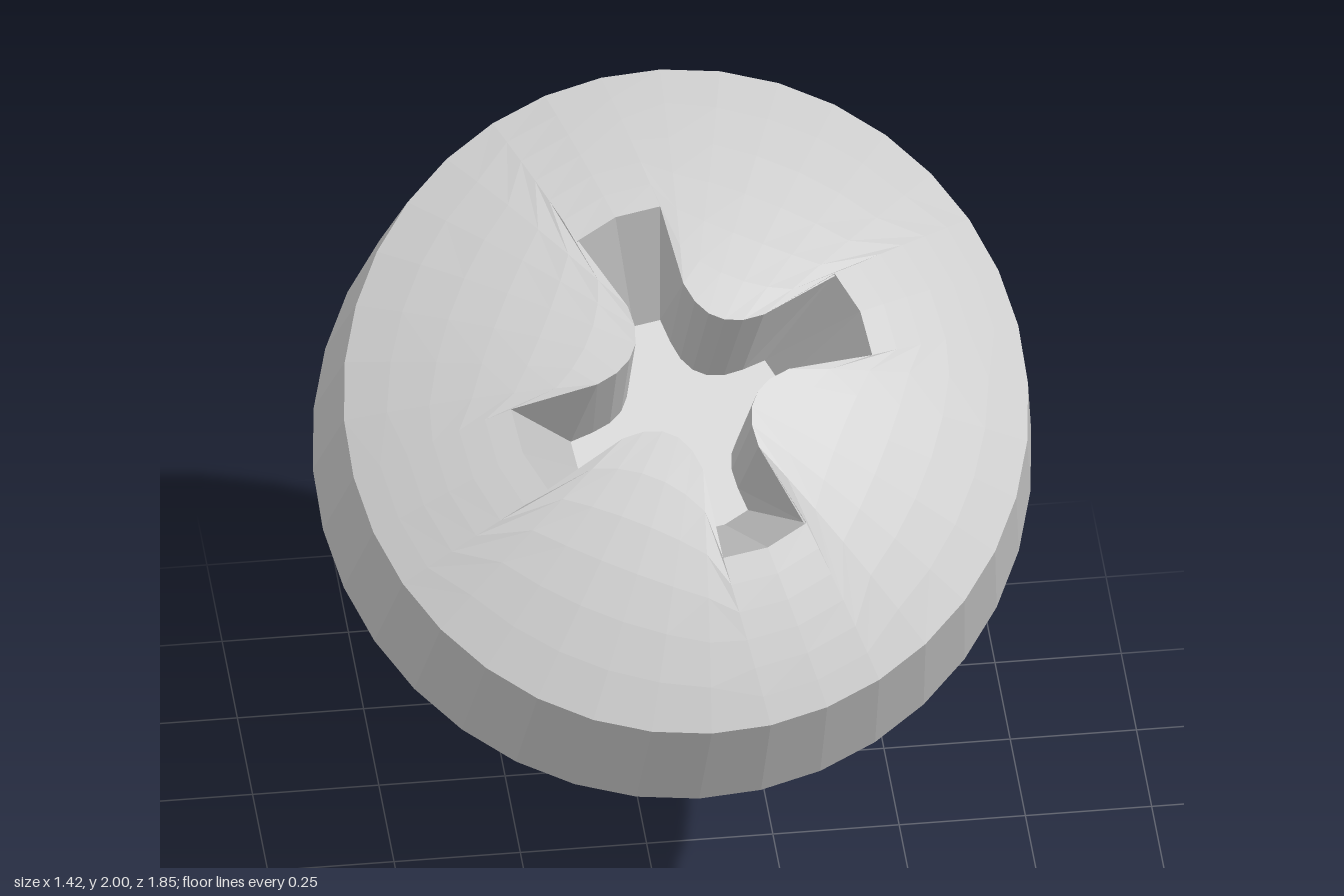
import * as THREE from 'three';

const N = 36;            // sides all round, nine per recess arm
const RIM_R = 0.676, RIM_H = 1.805, DOME = 0.21, FLOOR_H = 1.62;
const TWIST = -0.33;     // turn of the cross recess about the screw axis

const material = new THREE.MeshStandardMaterial({ color: 0xcccccc, flatShading: true });

const domeHeight = (r) => RIM_H + DOME * (1 - (r / RIM_R) ** 2);

const circle = (r, h) => Array.from({ length: N }, (_, i) => {
  const a = TWIST + (i / N) * Math.PI * 2;
  return new THREE.Vector3(r * Math.cos(a), h, r * Math.sin(a));
});

// Skin a list of equal loops; a loop of radius 0 closes an end
function loft(name, loops) {
  const pos = [];
  const tri = (a, b, c) => {
    const area = b.clone().sub(a).cross(c.clone().sub(a)).length();
    if (area > 1e-9) pos.push(...a.toArray(), ...b.toArray(), ...c.toArray());
  };
  for (let k = 0; k < loops.length - 1; k++) {
    for (let i = 0; i < N; i++) {
      const j = (i + 1) % N, A = loops[k], B = loops[k + 1];
      tri(A[i], B[i], A[j]);
      tri(A[j], B[i], B[j]);
    }
  }
  const geometry = new THREE.BufferGeometry();
  geometry.setAttribute('position', new THREE.Float32BufferAttribute(pos, 3));
  geometry.computeVertexNormals();
  const mesh = new THREE.Mesh(geometry, material);
  mesh.name = name;
  return mesh;
}

// Cross outline: flared arms joined by rounded inner corners.
// endScale and neckScale shrink the arm tips and the corners.
function cross(endScale, neckScale, heightAt) {
  const corner = new THREE.QuadraticBezierCurve(
    new THREE.Vector2(0.18, 0.06), new THREE.Vector2(0.06, 0.06), new THREE.Vector2(0.06, 0.18)
  ).getPoints(5).map((p) => p.multiplyScalar(neckScale));
  const tips = [[0.365, 0], [0.35, 0.09], [0.09, 0.35]]
    .map(([x, y]) => new THREE.Vector2(x, y).multiplyScalar(endScale));
  const quarter = [tips[0], tips[1], ...corner, tips[2]];
  const loop = [];
  for (let q = 0; q < 4; q++) {
    for (const p of quarter) {
      const v = p.clone().rotateAround(new THREE.Vector2(), TWIST + q * Math.PI / 2);
      loop.push(new THREE.Vector3(v.x, heightAt(v.length()), v.y));
    }
  }
  return loop;
}

export function createModel() {
  const model = new THREE.Group();
  model.name = 'screw';
  const screw = new THREE.Group();
  screw.name = 'tiltedScrew';

  // Straight shank with a tapered, flat-ended tip
  screw.add(loft('shank', [circle(0, 0), circle(0.262, 0), circle(0.355, 0.568), circle(0.355, 1.432)]));

  // Underside and slightly drafted side of the head
  screw.add(loft('headSide', [circle(0.355, 1.432), circle(0.71, 1.432), circle(RIM_R, RIM_H)]));

  // Domed top, blending from the round rim to the recess outline
  const rim = circle(RIM_R, RIM_H);
  const mouth = cross(1, 1, domeHeight);
  const rings = 6;
  const dome = Array.from({ length: rings + 1 }, (_, k) => rim.map((p, i) => {
    const v = p.clone().lerp(mouth[i], k / rings);
    v.y = domeHeight(Math.hypot(v.x, v.z));
    return v;
  }));
  screw.add(loft('headDome', dome));

  // Cross recess with walls narrowing to a flat floor
  screw.add(loft('crossRecess', [mouth, cross(0.6, 0.9, () => FLOOR_H), circle(0, FLOOR_H)]));

  // Lean the screw towards the front
  screw.rotation.x = 0.666;
  screw.position.set(0, 0.162, -0.717);
  model.add(screw);
  return model;
}
